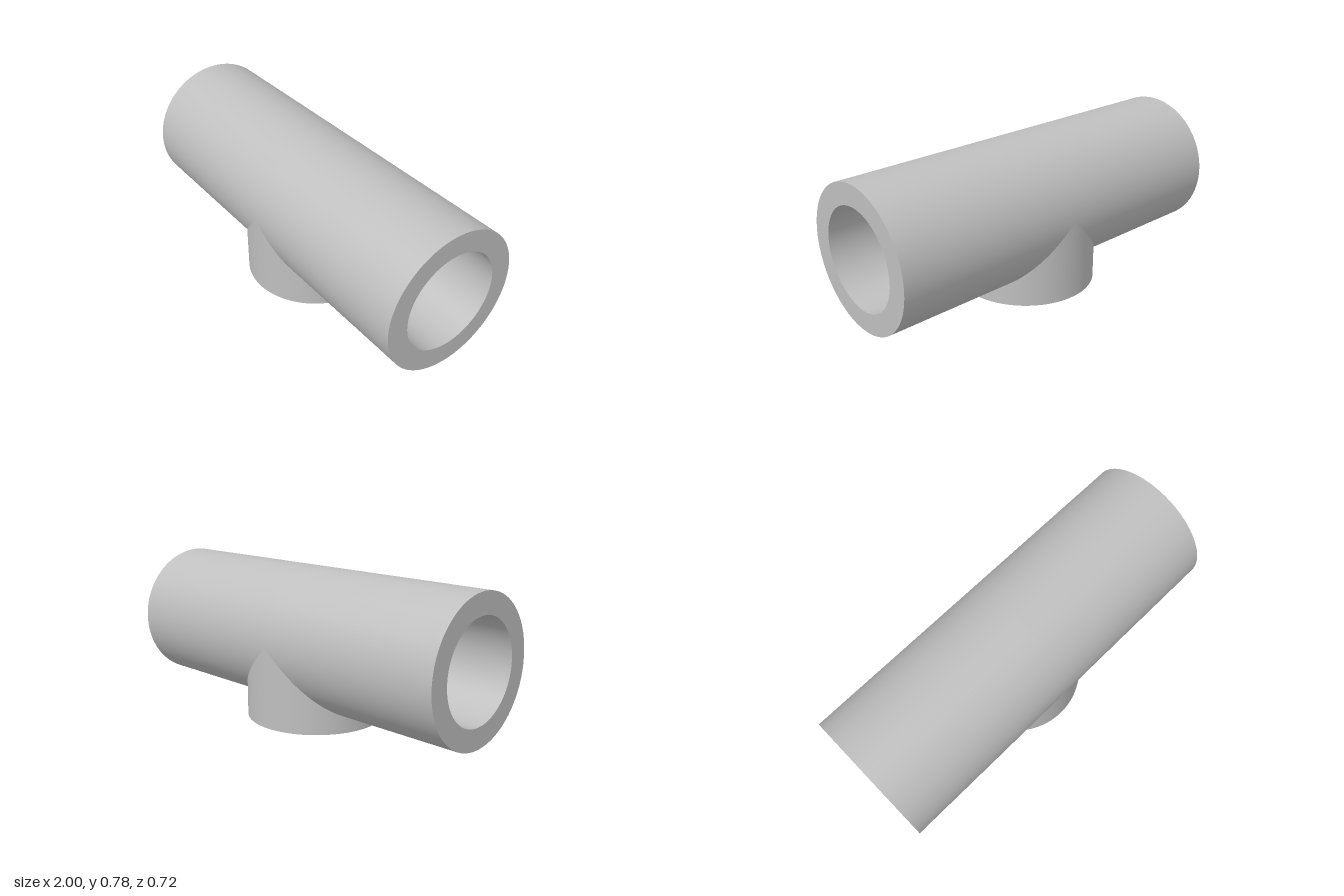
import * as THREE from 'three';

const R = 0.36;        // outer radius of pipe and of saddle foot
const SOCKET = 0.253;  // end socket radius
const BORE = 0.181;    // narrow middle bore radius
const HOLE = 0.069;    // screw hole radius
const CY = 0.417;      // pipe axis height
const STOP = 0.36;     // half length of the narrow bore

const metal = new THREE.MeshStandardMaterial({ color: 0xbfbfbf });
metal.name = 'plain grey';

// Smooth ruled strip; each rung gives its two ends and the outward normal
function strip(rungs) {
  const pos = [], nor = [], idx = [];
  rungs.forEach(({ a, b, n }) => {
    pos.push(...a, ...b);
    nor.push(...n, ...n);
  });
  const v = (i) => new THREE.Vector3().fromArray(pos, i * 3);
  const addTriangle = (i, j, k) => {
    const face = v(j).sub(v(i)).cross(v(k).sub(v(i)));
    if (face.length() < 1e-10) return;
    const out = new THREE.Vector3().fromArray(nor, i * 3);
    if (face.dot(out) > 0) idx.push(i, j, k);
    else idx.push(i, k, j);
  };
  for (let i = 0; i < rungs.length - 1; i++) {
    const o = i * 2;
    addTriangle(o, o + 1, o + 2);
    addTriangle(o + 1, o + 3, o + 2);
  }
  const g = new THREE.BufferGeometry();
  g.setAttribute('position', new THREE.Float32BufferAttribute(pos, 3));
  g.setAttribute('normal', new THREE.Float32BufferAttribute(nor, 3));
  g.setIndex(idx);
  return g;
}

const fullTurn = Array.from({ length: 129 }, (_, i) => -Math.PI + (i / 128) * Math.PI * 2);

// Wall around the x axis from start(y, z) to end; facing 1 = outward, -1 = inward
function pipeWall(r, side, start, end, facing, angles = fullTurn) {
  return strip(angles.map((t) => {
    const y = -Math.cos(t), z = Math.sin(t);
    return {
      a: [side * start(r * y, r * z), CY + r * y, r * z],
      b: [side * end, CY + r * y, r * z],
      n: [0, facing * y, facing * z],
    };
  }));
}

// Wall around the y axis from the ground up to top(x, z)
function uprightWall(r, top, facing) {
  return strip(fullTurn.map((t) => {
    const x = r * Math.sin(t), z = r * Math.cos(t);
    return {
      a: [x, 0, z],
      b: [x, top(x, z), z],
      n: [facing * Math.sin(t), 0, facing * Math.cos(t)],
    };
  }));
}

export function createModel() {
  const group = new THREE.Group();
  const add = (name, geometry) => {
    const mesh = new THREE.Mesh(geometry, metal);
    mesh.name = name;
    group.add(mesh);
    return mesh;
  };

  // Extra angles along the edge of the screw hole in the bore
  const holeHalf = Math.asin(HOLE / BORE);
  const holeAngles = Array.from({ length: 33 }, (_, i) =>
    Math.asin((HOLE / BORE) * Math.sin(-Math.PI / 2 + (i / 32) * Math.PI)));
  const boreAngles = fullTurn
    .filter((t) => Math.abs(t) > holeHalf + 0.001)
    .concat(holeAngles)
    .sort((p, q) => p - q);
  const holeEdge = (y, z) => (y < 0 ? Math.sqrt(Math.max(0, HOLE * HOLE - z * z)) : 0);

  for (const side of [1, -1]) {
    const label = side > 0 ? 'left' : 'right';
    // Outer skin, mitred where the saddle foot joins
    add(label + 'PipeSkin', pipeWall(R, side, (y) => Math.max(0, -y), 1, 1));
    // Socket and narrow bore
    add(label + 'SocketWall', pipeWall(SOCKET, side, () => STOP, 1, -1));
    add(label + 'BoreWall', pipeWall(BORE, side, holeEdge, STOP, -1, boreAngles));
    // Flat end rim and inner stop
    for (const [name, inner, outer, x] of [['EndRim', SOCKET, R, 1], ['StopShoulder', BORE, SOCKET, STOP]]) {
      const ring = add(label + name, new THREE.RingGeometry(inner, outer, 128));
      ring.rotation.y = side * Math.PI / 2;
      ring.position.set(side * x, CY, 0);
    }
  }

  // Saddle foot, its base and the screw hole
  add('saddleFoot', uprightWall(R, (x) => CY - Math.abs(x), 1));
  add('screwHole', uprightWall(HOLE, (x, z) => CY - Math.sqrt(BORE * BORE - z * z), -1));
  add('footBase', new THREE.RingGeometry(HOLE, R, 128)).rotation.x = Math.PI / 2;

  return group;
}
